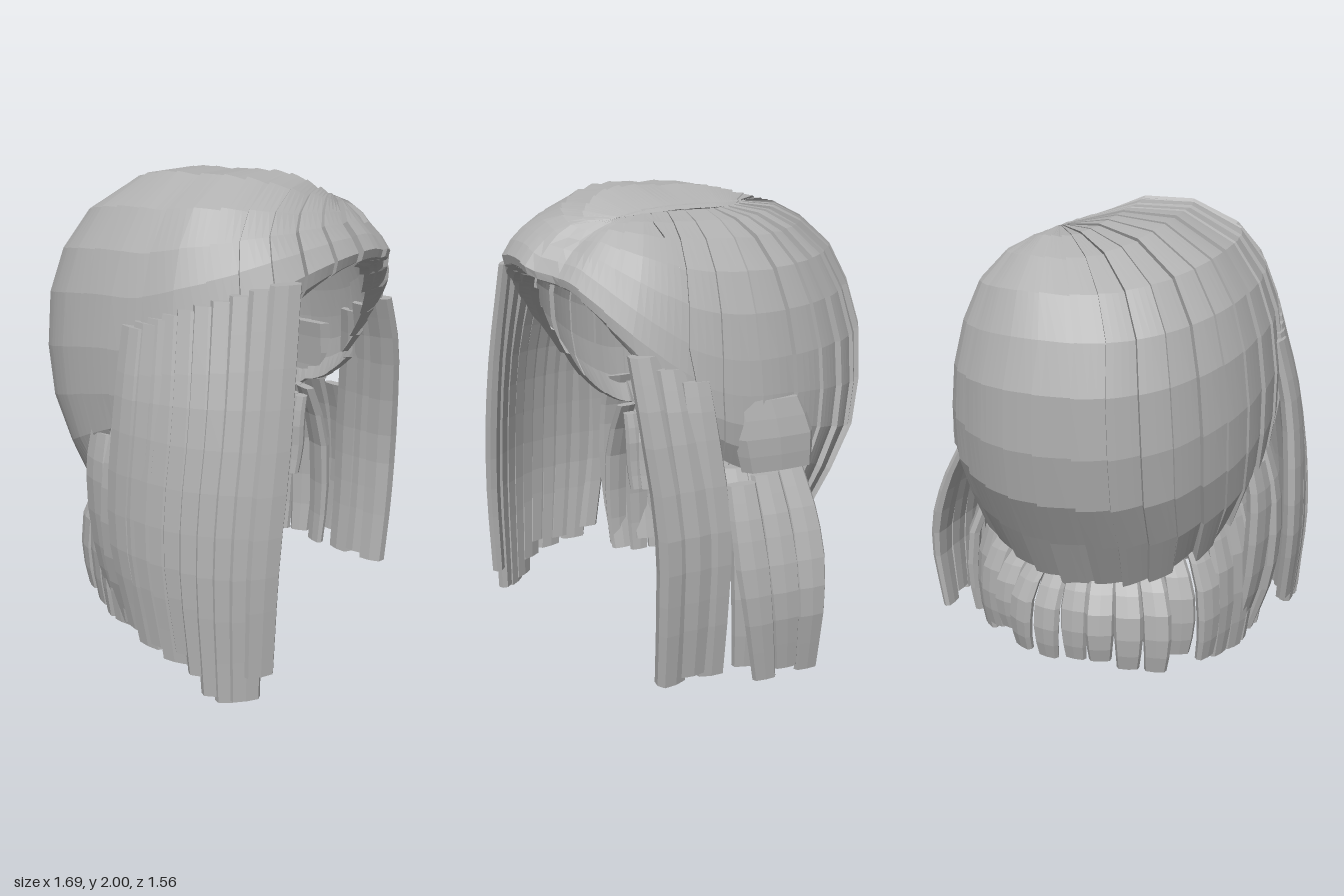
import * as THREE from 'three';

const hair = new THREE.MeshStandardMaterial({ color: 0xb0b0b0, flatShading: true, side: THREE.DoubleSide });
hair.name = 'hairGrey';

// small seeded random numbers
function makeRandom(seed) {
  return () => {
    seed = (seed * 16807) % 2147483647;
    return seed / 2147483647;
  };
}

const { lerp, smoothstep, clamp } = THREE.MathUtils;

// closed grid surface: at(i, j) gives the point of column i in row j
function gridMesh(name, cols, rows, at) {
  const position = [], index = [];
  for (let j = 0; j < rows; j++)
    for (let i = 0; i < cols; i++) position.push(...at(i, j));
  for (let j = 0; j < rows - 1; j++)
    for (let i = 0; i < cols; i++) {
      const n = (i + 1) % cols;
      const a = j * cols + i, b = j * cols + n, c = a + cols, d = b + cols;
      index.push(a, b, c, b, d, c);
    }
  const geometry = new THREE.BufferGeometry();
  geometry.setAttribute('position', new THREE.Float32BufferAttribute(position, 3));
  geometry.setIndex(index);
  geometry.computeVertexNormals();
  const mesh = new THREE.Mesh(geometry, hair);
  mesh.name = name;
  return mesh;
}

// flattened lock of hair swept down a path; angle turns its width about y
function strand(name, points, halfWidth, halfDepth, angle, taper = 0.75, segments = 8) {
  const curve = new THREE.CatmullRomCurve3(points.map((p) => new THREE.Vector3(...p)));
  const cos = Math.cos(angle), sin = Math.sin(angle), sides = 8;
  return gridMesh(name, sides, segments + 3, (i, j) => {
    const t = clamp((j - 1) / segments, 0, 1);
    const p = curve.getPoint(t);
    const cap = j === 0 || j === segments + 2 ? 0 : 1;
    const swell = cap * (t < 0.5 ? lerp(0.85, 1, t * 2) : lerp(1, taper, t * 2 - 1));
    const a = (i / sides) * Math.PI * 2;
    const square = (v) => Math.sign(v) * Math.pow(Math.abs(v), 0.6);
    const w = square(Math.cos(a)) * halfWidth * swell;
    const d = square(Math.sin(a)) * halfDepth * swell;
    return [p.x + cos * w - sin * d, p.y, p.z + sin * w + cos * d];
  });
}

// cap profiles from the parting to the lower edge: [distance, height]
const leftSide = [[.18, 1.93], [.3, 1.88], [.42, 1.82], [.53, 1.7], [.6, 1.54], [.64, 1.36], [.66, 1.22], [.67, 1.1], [.66, 1], [.62, .9]];
const rightSide = [[.14, 1.95], [-.08, 2], [-.32, 2], [-.54, 1.88], [-.65, 1.72], [-.71, 1.55], [-.74, 1.34], [-.74, 1.15], [-.72, 1], [-.65, .88]];
const front = [[.45, 1.91], [.52, 1.89], [.58, 1.87], [.64, 1.84], [.69, 1.81], [.74, 1.77], [.78, 1.72], [.77, 1.69], [.74, 1.68], [.69, 1.69]];
const back = [[-.2, 1.96], [-.35, 1.93], [-.48, 1.87], [-.62, 1.76], [-.72, 1.6], [-.785, 1.4], [-.79, 1.15], [-.75, .92], [-.63, .7], [-.51, .48]];

function capPoint(theta, row) {
  const k = Math.max(row - 1, 0);
  const c = Math.cos(theta), s = Math.sin(theta);
  const round = (v) => Math.sign(v) * Math.pow(Math.abs(v), 0.9);
  const side = c > 0 ? leftSide[k] : rightSide[k];
  const end = s > 0 ? front[k] : back[k];
  const middle = lerp(0.16, -0.03, Math.min(k / 4, 1));
  const x = row === 0 ? middle : middle + Math.abs(side[0] - middle) * round(c);
  let z = Math.abs(end[0]) * round(s);
  const blend = Math.pow(Math.abs(s), lerp(2, s > 0 ? 1.5 : 0.9, row / 10));
  let y = lerp(side[1], end[1], blend);
  // parting groove, fuller right lobe and shorter left lobe
  if (z > -0.2) y -= 0.02 * Math.exp(-(((x - 0.17) / 0.05) ** 2));
  y += 0.06 * smoothstep(z, 0.05, 0.4) * smoothstep(-x, -0.13, 0.05) * (1 - row / 10);
  if (z > 0.3) z *= 1 - 0.11 * smoothstep(x, 0.1, 0.17);
  return [x, y, z];
}

// hair cap made of overlapping locks, turned in at the rim to a lining
function hairCap() {
  const locks = 34, perLock = 5, random = makeRandom(17);
  const steps = Array.from({ length: locks }, () => 0.01 + random() * 0.025);
  const drops = Array.from({ length: locks }, () => (random() - 0.5) * 0.06);
  return gridMesh('hairCap', locks * perLock, 21, (i, j) => {
    const row = j > 10 ? 21 - j : j, lining = j > 10 ? 0.95 : 1;
    const lock = Math.floor(i / perLock), u = (i % perLock) / (perLock - 1);
    const theta = ((lock + u * 0.985) / locks) * Math.PI * 2;
    const [x, y, z] = capPoint(theta, row);
    const scale = lining * (1 - steps[lock] * (1 - u) * Math.min(row / 3, 1));
    const drop = row === 10 && theta > Math.PI ? drops[lock] : 0;
    return [x * scale, 1.15 + (y - 1.15) * lerp(1, scale, 0.6) + drop, z * scale];
  });
}

// long curtain of locks on the right side of the face
function rightCurtain() {
  const group = new THREE.Group();
  group.name = 'rightCurtain';
  const ends = [.2, .15, .17, .13, .18, .1, .02, 0, .01, .12];
  ends.forEach((bottom, i) => {
    const t = i / (ends.length - 1), bow = Math.sin(Math.PI * t);
    group.add(strand('curtainLock', [
      [-.71 + .25 * t - .04 * bow, 1.45 + .2 * t, .13 + .54 * t],
      [-.78 + .22 * t - .05 * bow, 1.15, .15 + .56 * t + .03 * bow],
      [-.82 + .18 * t - .06 * bow, .6, .14 + .58 * t + .04 * bow],
      [-.79 + .14 * t - .05 * bow, bottom, .2 + .51 * t + .04 * bow],
    ], 0.075, 0.033, lerp(1.7, 0.5, t), 0.85, 10));
  });
  // shorter locks behind the curtain
  for (let i = 0; i < 2; i++)
    group.add(strand('rightEarLock', [
      [-.68, 1.02 - .06 * i, .04 - .14 * i], [-.74 + .03 * i, .8, .04 - .14 * i],
      [-.74 + .05 * i, .4, .04 - .13 * i], [-.66 + .03 * i, .1 + .04 * i, .04 - .12 * i],
    ], 0.085, 0.035, 1.55 + 0.25 * i, 0.7));
  return group;
}

// locks on the left side: face lock, ear lock and the fold above it
function leftLocks() {
  const group = new THREE.Group();
  group.name = 'leftLocks';
  for (let i = 0; i < 3; i++) {
    const dz = (i - 1) * 0.09;
    group.add(strand('leftFaceLock', [
      [.59 - .04 * i, 1.4 - .05 * (2 - i), .36 + dz], [.62 - .01 * i, 1.15, .35 + dz],
      [.67, .7, .31 + dz], [.66, .35, .31 + dz], [.63, .05 + .02 * (i % 2), .31 + dz],
    ], 0.075, 0.05, 1.75 - 0.2 * i, 0.85, 10));
    group.add(strand('leftEarLock', [
      [.69 - .02 * i, .88 + .02 * i, .11 - .12 * i], [.75, .7, .11 - .13 * i],
      [.8 + .01 * i, .4, .09 - .12 * i], [.78, .05 + .03 * (i % 2), .04 - .1 * i],
    ], 0.075, 0.028, 1.65, 0.7));
  }
  group.add(strand('leftEarFold',
    [[.62, 1.2, -.04], [.64, 1.1, -.06], [.65, 1, -.07], [.65, .91, -.08]], 0.18, 0.05, 1.6, 0.9, 4));
  return group;
}

// rows of short locks hanging from the lower edge around the nape
function napeRow(name, count, radius, ends, flare, halfWidth, seed) {
  const group = new THREE.Group(), random = makeRandom(seed);
  group.name = name;
  for (let i = 0; i < count; i++) {
    const theta = lerp(-0.1, Math.PI + 0.1, i / (count - 1));
    const c = Math.cos(theta), s = Math.sin(theta);
    const [top, bottom] = ends(c * c);
    const low = bottom + random() * 0.1, puff = flare + (random() - 0.5) * 0.1;
    const at = (r, y) => [-0.02 + 0.58 * c * r, y, -0.49 * s * r];
    group.add(strand(name + 'Lock', [
      at(radius, top), at(radius * lerp(1, puff, 0.8), lerp(top, low, 0.3)),
      at(radius * puff, lerp(top, low, 0.7)), at(radius * (puff - 0.04), low),
    ], halfWidth, 0.03, 1.5 * Math.PI - theta + (random() - 0.5) * 0.8, 0.75, 5));
  }
  return group;
}

export function createModel() {
  const model = new THREE.Group();
  model.name = 'wig';
  model.add(
    hairCap(),
    rightCurtain(),
    leftLocks(),
    napeRow('napeFringe', 19, 0.94, (q) => [0.51 + 0.39 * q * q, 0.09 - 0.05 * q], 1.22, 0.065, 5),
    napeRow('innerFringe', 26, 0.88, (q) => [0.48 + 0.38 * q, 0.32 + 0.15 * q], 0.95, 0.045, 11),
  );
  return model;
}
